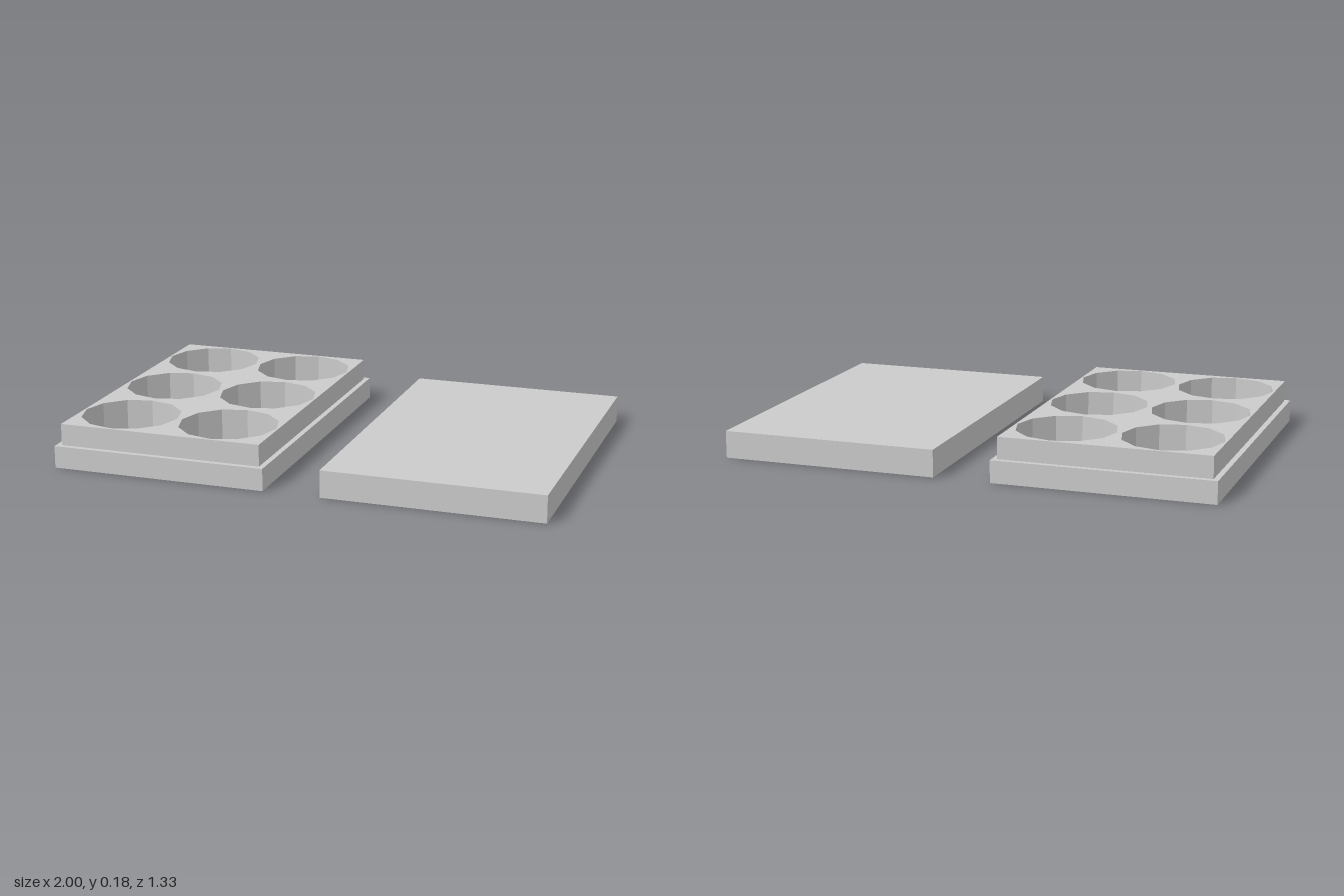
import * as THREE from 'three';

const material = new THREE.MeshStandardMaterial({ color: 0xcccccc, flatShading: true });

const WIDTH = 0.884, DEPTH = 1.334, WALL = 0.022;
const CENTRE = 0.558;          // x offset of tray and lid
const FLOOR = 0.035, LEDGE = 0.09, TRAY_TOP = 0.178;
const LID_HEIGHT = 0.11;

function rectangle(w, d, Type = THREE.Shape) {
  const p = new Type();
  p.moveTo(-w / 2, -d / 2);
  p.lineTo(w / 2, -d / 2);
  p.lineTo(w / 2, d / 2);
  p.lineTo(-w / 2, d / 2);
  p.closePath();
  return p;
}

// Twelve-sided well outline
function wellOutline(x, z, r = 0.201) {
  const points = [];
  for (let i = 0; i < 12; i++) {
    const a = (i / 12) * Math.PI * 2;
    points.push(new THREE.Vector2(x + r * Math.cos(a), z + r * Math.sin(a)));
  }
  return new THREE.Path(points).closePath();
}

function wellOutlines() {
  const wells = [];
  for (const x of [-0.211, 0.211])
    for (const z of [-0.433, 0, 0.433]) wells.push(wellOutline(x, z));
  return wells;
}

// Upright slab between two heights, pierced by the given holes
function slab(name, w, d, y0, y1, holes = []) {
  const shape = rectangle(w, d);
  shape.holes.push(...holes);
  const geometry = new THREE.ExtrudeGeometry(shape, { depth: y1 - y0, bevelEnabled: false });
  geometry.rotateX(-Math.PI / 2);
  geometry.translate(0, y0, 0);
  const mesh = new THREE.Mesh(geometry, material);
  mesh.name = name;
  return mesh;
}

export function createModel() {
  const model = new THREE.Group();
  model.name = 'wellBoxWithLid';

  // Tray: closed floor, wide base and a narrower stepped top with six wells
  const tray = new THREE.Group();
  tray.name = 'tray';
  tray.position.x = -CENTRE;
  tray.add(
    slab('trayFloor', WIDTH, DEPTH, 0, FLOOR),
    slab('trayBase', WIDTH, DEPTH, FLOOR, LEDGE, wellOutlines()),
    slab('trayStep', WIDTH - 2 * WALL, DEPTH - 2 * WALL, LEDGE, TRAY_TOP, wellOutlines())
  );

  // Lid: thin top plate on a hollow rim, open underneath
  const lid = new THREE.Group();
  lid.name = 'lid';
  lid.position.x = CENTRE;
  const cavity = rectangle(WIDTH - 2 * WALL, DEPTH - 2 * WALL, THREE.Path);
  lid.add(
    slab('lidRim', WIDTH, DEPTH, 0, LID_HEIGHT - WALL, [cavity]),
    slab('lidTop', WIDTH, DEPTH, LID_HEIGHT - WALL, LID_HEIGHT)
  );

  model.add(tray, lid);
  return model;
}
